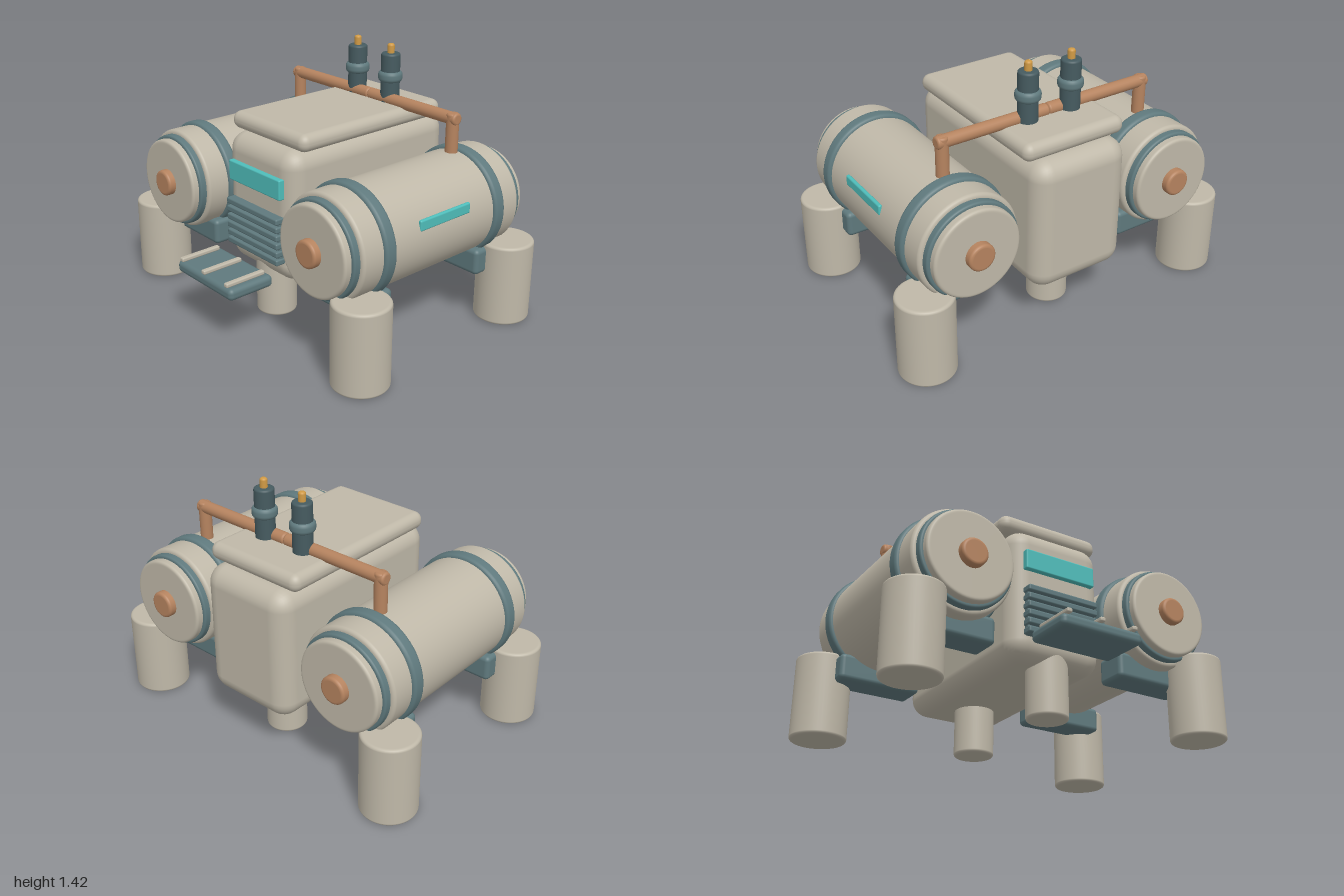
import * as THREE from 'three';
import { RoundedBoxGeometry } from 'three/addons/geometries/RoundedBoxGeometry.js';

const material = (color) => new THREE.MeshStandardMaterial({ color });

export function createModel() {
  const root = new THREE.Group();
  const shell = material(0xbfb8a8);
  const trim = material(0x5f797d);
  const dark = material(0x465b60);
  const copper = material(0xb5835f);
  const amber = material(0xd09a45);
  const glow = material(0x4fbdba);

  const add = (name, geometry, mat, x, y, z, parent = root) => {
    const mesh = new THREE.Mesh(geometry, mat);
    mesh.name = name;
    mesh.position.set(x, y, z);
    parent.add(mesh);
    return mesh;
  };

  // Rounded box given by its extents
  const box = (name, mat, [x0, x1], [y0, y1], [z0, z1], r, parent = root) =>
    add(name, new RoundedBoxGeometry(x1 - x0, y1 - y0, z1 - z0, 4, r), mat,
      (x0 + x1) / 2, (y0 + y1) / 2, (z0 + z1) / 2, parent);

  // Cylinder along y with rounded rims
  const drum = (r, h, b, segments = 48) => {
    const pts = [new THREE.Vector2(0, -h / 2), new THREE.Vector2((r - b) * 0.97, -h / 2)];
    for (const end of [-1, 1]) {
      for (let i = 0; i <= 4; i++) {
        const a = (end < 0 ? i - 4 : i) / 4 * Math.PI / 2;
        pts.push(new THREE.Vector2(r - b + b * Math.cos(a), end * (h / 2 - b) + b * Math.sin(a)));
      }
    }
    pts.push(new THREE.Vector2((r - b) * 0.97, h / 2), new THREE.Vector2(0, h / 2));
    return new THREE.LatheGeometry(pts, segments);
  };
  const drumY = (name, mat, r, x, z, y0, y1, b) =>
    add(name, drum(r, y1 - y0, b), mat, x, (y0 + y1) / 2, z);

  // Central hull and lid
  box('hull', shell, [-0.28, 0.28], [0.27, 1.005], [-0.75, 0.4], 0.1);
  box('lid', shell, [-0.302, 0.302], [1.0, 1.097], [-0.675, 0.34], 0.046);

  // Front display and ventilation grille
  box('display', glow, [-0.212, 0.212], [0.75, 0.862], [0.37, 0.427], 0.008);
  const grille = new THREE.Group();
  grille.name = 'grille';
  root.add(grille);
  box('grilleBack', trim, [-0.205, 0.205], [0.385, 0.65], [0.36, 0.425], 0.008, grille);
  for (let i = 0; i < 6; i++) {
    const y = 0.405 + i * 0.046;
    box('grilleSlat', trim, [-0.212, 0.212], [y - 0.017, y + 0.017], [0.38, 0.45], 0.009, grille);
  }

  // Footboard with three raised strips
  box('footboard', trim, [-0.237, 0.237], [0.3, 0.366], [0.49, 0.768], 0.026);
  for (const x of [-0.195, 0, 0.195]) {
    box('footboardStrip', shell, [x - 0.015, x + 0.015], [0.37, 0.394], [0.525, 0.768], 0.008);
  }

  // Legs under the hull
  for (const z of [0.28, -0.45]) drumY('centerLeg', shell, 0.11, 0, z, 0.01, 0.4, 0.015);

  // Parts of a tank along z: name, material, radius, half length, rim
  const tankParts = [
    ['tankBody', shell, 0.281, 0.565, 0.02],
    ['tankEndBand', trim, 0.258, 0.603, 0.012],
    ['tankCap', shell, 0.24, 0.643, 0.015],
    ['tankHub', copper, 0.073, 0.685, 0.015],
  ];

  for (const s of [-1, 1]) {
    const tank = new THREE.Group();
    tank.name = s > 0 ? 'leftTank' : 'rightTank';
    tank.position.set(s * 0.61, 0.65, -0.085);
    root.add(tank);
    for (const [name, mat, r, half, rim] of tankParts) {
      add(name, drum(r, half * 2, rim, 64), mat, 0, 0, 0, tank).rotation.x = Math.PI / 2;
    }
    for (const z of [-0.396, 0.396]) {
      add('tankStrap', drum(0.3, 0.076, 0.02, 64), trim, 0, 0, z, tank).rotation.x = Math.PI / 2;
    }
    // Light strip, on the same side of both tanks
    box('tankLight', glow, [0.255, 0.277], [0.062, 0.12], [-0.178, 0.182], 0.009, tank);

    // Corner legs and the brackets joining them to the tanks
    for (const e of [-1, 1]) {
      drumY('cornerLeg', shell, 0.15, s * 0.85, -0.085 + e * 0.536, 0, 0.455, 0.015);
      const bracket = box('legBracket', trim, [-0.23, 0.23], [0.29, 0.435], [-0.09, 0.09], 0.025);
      bracket.position.x = s * 0.61;
      bracket.position.z = -0.085 + e * 0.402;
    }

    // Feed pipe from tank to hull
    add('pipeRun', drum(0.034, 0.645, 0.012, 24), copper, s * 0.3225, 1.112, -0.415)
      .rotation.z = Math.PI / 2;
    drumY('pipeDrop', copper, 0.034, s * 0.61, -0.415, 0.88, 1.142, 0.012);

    // Mast with collar and tip
    drumY('mast', dark, 0.053, s * 0.13, -0.435, 1.07, 1.367, 0.012);
    drumY('mastCollar', trim, 0.067, s * 0.13, -0.435, 1.207, 1.268, 0.022);
    drumY('mastTip', amber, 0.02, s * 0.13, -0.435, 1.34, 1.418, 0.012);
  }

  return root;
}
